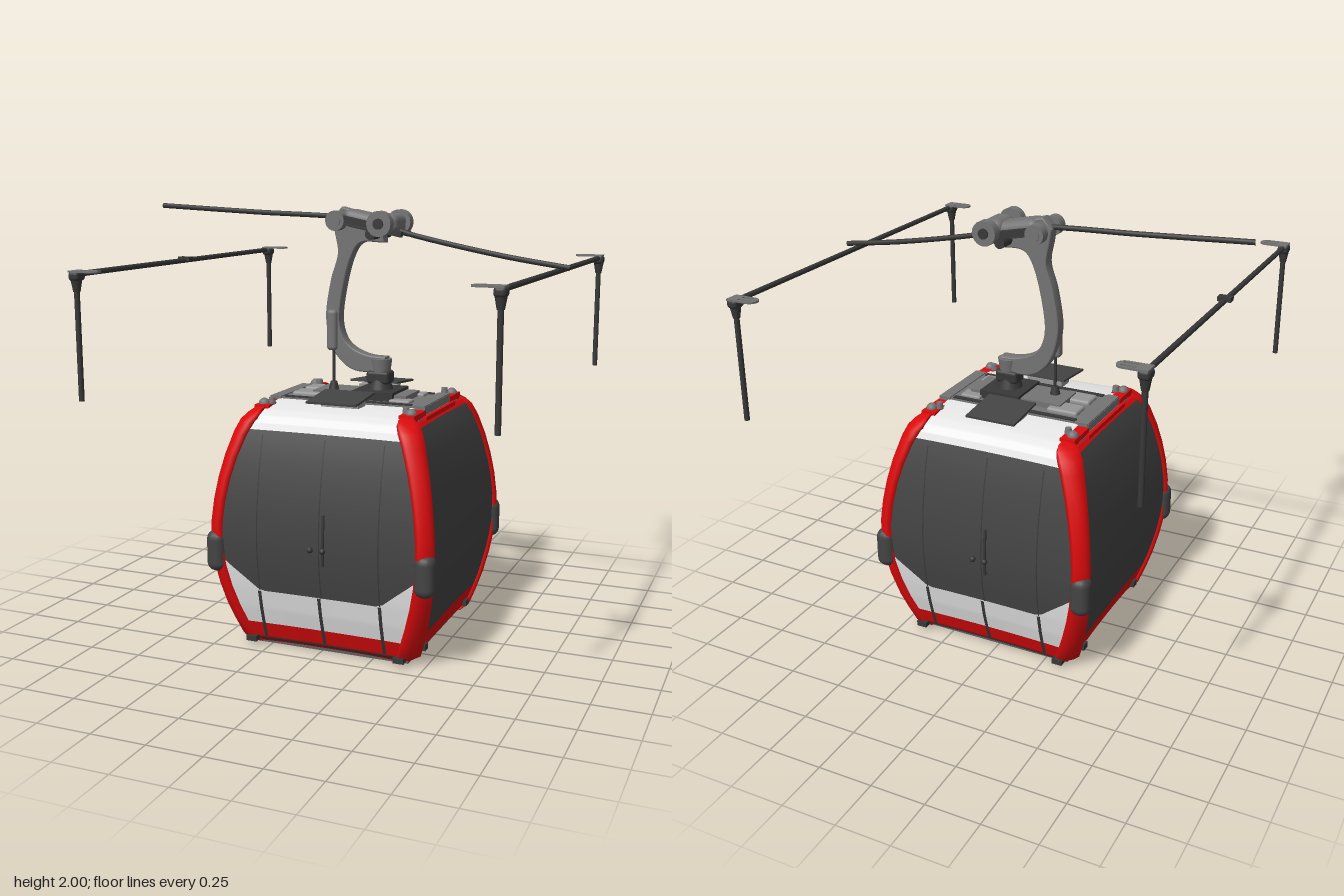
import * as THREE from 'three';
import { toCreasedNormals } from 'three/addons/utils/BufferGeometryUtils.js';
import { RoundedBoxGeometry } from 'three/addons/geometries/RoundedBoxGeometry.js';

const CX = 0.03; // cabin centre in x
// cabin half width by height, curving over into the roof: [y, half width]
const PROFILE = [[0.01, 0.4], [0.04, 0.436], [0.12, 0.464], [0.2, 0.488], [0.3, 0.51], [0.4, 0.526],
  [0.5, 0.534], [0.6, 0.532], [0.7, 0.522], [0.8, 0.506], [0.9, 0.484], [1.0, 0.455], [1.05, 0.434],
  [1.08, 0.408], [1.098, 0.355], [1.112, 0.26], [1.12, 0.17]];

function halfWidth(y) {
  let i = 1;
  while (i < PROFILE.length - 1 && PROFILE[i][0] < y) i++;
  const [y0, w0] = PROFILE[i - 1], [y1, w1] = PROFILE[i];
  return w0 + (w1 - w0) * (y - y0) / (y1 - y0);
}

// surface through a grid of points, rows running upward
function gridSurface(cols, rows, point) {
  const pos = [], idx = [];
  for (let j = 0; j <= rows; j++) for (let i = 0; i <= cols; i++) {
    pos.push(...point(i, j));
    if (i < cols && j < rows) {
      const a = j * (cols + 1) + i, b = a + cols + 1;
      idx.push(a, a + 1, b, a + 1, b + 1, b);
    }
  }
  const g = new THREE.BufferGeometry();
  g.setAttribute('position', new THREE.Float32BufferAttribute(pos, 3));
  g.setIndex(idx);
  g.computeVertexNormals();
  return g;
}

// curved wall skin facing +z, reaching the pillars unless x limits are given
function wallSkin(low, high, lift = 0, x0 = null, x1 = null) {
  return gridSurface(28, 16, (i, j) => {
    const t = i / 28;
    const guess = x0 === null ? (t * 2 - 1) * 0.47 : x0 + (x1 - x0) * t;
    const y = low(guess) + (high(guess) - low(guess)) * j / 16;
    const h = halfWidth(y);
    const x = x0 === null ? (t * 2 - 1) * (h - 0.04) : guess;
    return [x, y, h - 0.01 - 0.013 * Math.max(0, 1 - (x / h) ** 2) + lift];
  });
}

// corner pillar at +x +z: a rounded chamfer swept up the profile, wider at both ends, in over the roof
function pillarSkin() {
  const section = [[-0.074, -0.035], [-0.07, -0.006], [-0.052, 0.002], [-0.028, -0.008], [-0.008, -0.028], [0.002, -0.052], [-0.006, -0.07], [-0.035, -0.074]];
  const path = [...PROFILE.slice(0, 14), [1.1, 0.38], [1.108, 0.335]];
  return gridSurface(section.length - 1, path.length - 1, (i, j) => {
    const [y, h] = path[j], wide = 1.02 + 0.28 * Math.min(1, ((y - 0.6) / 0.45) ** 2);
    return [Math.max(0.328, h + section[i][0] * wide), y, Math.max(0.328, h + section[i][1] * wide)];
  });
}

export function createModel() {
  const root = new THREE.Group();
  root.name = 'cableCar';
  const mat = (name, color, side = THREE.FrontSide) => {
    const m = new THREE.MeshStandardMaterial({ color, side });
    m.name = name;
    return m;
  };
  const red = mat('red', 0xdc0a0c, THREE.DoubleSide), white = mat('white', 0xf8f8f8), pale = mat('pale grey', 0xeaeaea);
  const glass = mat('dark glass', 0x444444), dark = mat('dark grey', 0x383838), floorGrey = mat('floor grey', 0x5c5c5c);
  const metal = mat('metal grey', 0x747474), light = mat('light metal', 0x969696);

  const add = (name, geo, m, x = 0, y = 0, z = 0, parent = root) => {
    const mesh = new THREE.Mesh(geo, m);
    mesh.name = name;
    mesh.position.set(x, y, z);
    parent.add(mesh);
    return mesh;
  };
  const box = (name, m, w, h, d, x, y, z, parent) => add(name, new THREE.BoxGeometry(w, h, d), m, x, y, z, parent);
  const soft = (name, m, w, h, d, rad, x, y, z, parent) => add(name, new RoundedBoxGeometry(w, h, d, 3, rad), m, x, y, z, parent);
  const ball = (name, m, r, x, y, z, parent) => add(name, new THREE.SphereGeometry(r, 16, 10), m, x, y, z, parent);
  const tube = (name, m, r, pts, parent, n = 24) => add(name, new THREE.TubeGeometry(
    new THREE.CatmullRomCurve3(pts.map(p => new THREE.Vector3(...p))), n, r, 10), m, 0, 0, 0, parent);
  // cylinder, turned along z when asked
  const cyl = (name, m, r0, r1, h, x, y, z, alongZ, parent) => {
    const g = new THREE.CylinderGeometry(r0, r1, h, 20);
    if (alongZ) g.rotateX(Math.PI / 2);
    return add(name, g, m, x, y, z, parent);
  };

  const cabin = new THREE.Group();
  cabin.name = 'cabin';
  cabin.position.x = CX;
  root.add(cabin);

  // door walls (front, back) and window walls (sides), each with one corner pillar
  const at = v => () => v;
  const sill = x => 0.29 + Math.max(0, Math.abs(x) - 0.29) * 0.9;
  const pillarGeo = pillarSkin();
  for (let k = 0; k < 4; k++) {
    const wall = new THREE.Group();
    wall.name = ['frontWall', 'leftWall', 'backWall', 'rightWall'][k];
    wall.rotation.y = k * Math.PI / 2;
    cabin.add(wall);
    const skin = (name, m, lo, hi, ...rest) => add(name, wallSkin(lo, hi, ...rest), m, 0, 0, 0, wall);
    add('cornerPillar', pillarGeo, red, 0, 0, 0, wall);
    soft('cornerBumper', glass, 0.092, 0.19, 0.092, 0.04, 0.498, 0.46, 0.498, wall);
    if (k % 2) {
      skin('sideSkirt', red, at(0.01), at(0.14));
      skin('sideWindow', glass, at(0.14), at(1.06));
      skin('sideTopTrim', red, at(1.06), at(1.085));
      for (const s of [-1, 1]) box('skirtBolt', dark, 0.04, 0.03, 0.02, s * 0.31, 0.065, 0.436, wall);
      continue;
    }
    skin('skirt', red, at(0.01), at(0.12));
    skin('lowerPanel', white, at(0.12), sill);
    skin('window', glass, sill, at(1.02));
    skin('topPanel', white, at(1.02), at(1.06));
    skin('whiteRoof', white, at(1.06), at(1.12), 0, -0.332, 0.332);
    skin('doorLowerPanel', pale, at(0.125), at(0.285), 0.004, -0.29, 0.29);
    for (const x of [-0.29, 0, 0.29]) skin('doorSeam', dark, at(0.05), at(0.29), 0.008, x - 0.008, x + 0.008);
    for (const x of [-0.29, 0.01, 0.29]) skin('doorGlassSeam', dark, at(0.29), at(1.0), 0.004, x - 0.003, x + 0.003);
    skin('doorSill', dark, at(0.034), at(0.048), 0.008, -0.33, 0.33);
    tube('doorHandle', dark, 0.007, [[0.03, 0.45, 0.517], [0.03, 0.56, 0.517], [0.03, 0.68, 0.506]], wall);
    for (const x of [-0.03, 0.03]) ball('doorKnob', dark, 0.014, x, 0.52, 0.52, wall);
  }

  // floor and roof
  box('floor', floorGrey, 0.77, 0.012, 0.77, 0, 0.008, 0, cabin);
  box('roofBase', metal, 0.77, 0.03, 0.56, 0, 1.072, 0, cabin);
  box('roofDeck', metal, 0.76, 0.035, 0.35, 0, 1.108, 0, cabin);
  for (const sx of [-1, 1]) {
    box('roofSideRail', metal, 0.055, 0.02, 0.36, sx * 0.35, 1.12, 0, cabin);
    box('roofSideTrim', red, 0.016, 0.02, 0.42, sx * 0.39, 1.08, 0, cabin);
    for (const sz of [-1, 1]) {
      box('roofCornerTrim', red, 0.07, 0.04, 0.16, sx * 0.348, 1.093, sz * 0.255, cabin);
      ball('roofLug', metal, 0.026, sx * 0.355, 1.112, sz * 0.288, cabin);
      cyl('roofLugPin', metal, 0.014, 0.02, 0.05, sx * 0.325, 1.115, sz * 0.27, false, cabin);
      box('cornerFoot', dark, 0.05, 0.025, 0.04, sx * 0.36, 0.035, sz * 0.43, cabin);
    }
  }
  for (const s of [-1, 1]) {
    box('deckEdge', dark, 0.62, 0.018, 0.025, 0, 1.122, s * 0.157, cabin);
    soft('deckPad', light, 0.15, 0.03, 0.1, 0.012, -0.22, 1.13, s * 0.07, cabin);
    soft('deckPad', light, 0.1, 0.02, 0.07, 0.008, 0.24, 1.13, s * 0.1, cabin);
    box('solarPanel', glass, 0.24, 0.01, 0.225, 0.01, 1.158, s * 0.262, cabin).rotation.x = s * 0.09;
    box('solarPanelStay', light, 0.18, 0.03, 0.09, 0.01, 1.13, s * 0.23, cabin);
  }
  box('hangerPlate', metal, 0.46, 0.025, 0.18, 0.03, 1.14, 0, cabin);
  box('hangerPlateEdge', dark, 0.2, 0.04, 0.22, 0.1, 1.145, 0, cabin);

  // hanger arm
  const hanger = new THREE.Group();
  hanger.name = 'hanger';
  root.add(hanger);
  cyl('hangerFoot', dark, 0.045, 0.065, 0.06, 0.13, 1.18, 0, false, hanger);
  soft('hangerJoint', dark, 0.11, 0.06, 0.09, 0.015, 0.13, 1.22, 0, hanger);
  cyl('hangerCollar', metal, 0.05, 0.042, 0.06, 0.135, 1.275, 0, false, hanger);
  const under = [[0.02, 1.25], [-0.06, 1.3], [-0.105, 1.38], [-0.125, 1.5], [-0.1, 1.66], [-0.065, 1.78], [-0.08, 1.88], [-0.09, 1.94]];
  const over = [[0.05, 1.84], [0, 1.79], [-0.04, 1.67], [-0.068, 1.5], [-0.05, 1.4], [0, 1.345], [0.08, 1.315], [0.16, 1.31]];
  const vec = a => a.map(p => new THREE.Vector2(...p));
  const outline = new THREE.Shape().moveTo(0.16, 1.25).splineThru(vec(under))
    .lineTo(-0.05, 1.985).lineTo(0.01, 1.97).lineTo(0.14, 1.92).lineTo(0.15, 1.84).splineThru(vec(over));
  const armGeo = new THREE.ExtrudeGeometry(outline, { depth: 0.044, bevelEnabled: true, bevelSize: 0.006, bevelThickness: 0.01, bevelSegments: 2, curveSegments: 6 });
  armGeo.translate(0, 0, -0.022);
  add('hangerArm', toCreasedNormals(armGeo, 0.6), metal, 0, 0, 0, hanger);
  soft('armBracket', metal, 0.05, 0.19, 0.05, 0.018, -0.095, 1.43, 0.03, hanger);
  tube('armStay', dark, 0.007, [[-0.09, 1.13, 0.03], [-0.09, 1.27, 0.03], [-0.09, 1.4, 0.03]], hanger);
  cyl('armStayFoot', dark, 0.015, 0.025, 0.04, -0.09, 1.17, 0.03, false, hanger);

  // grip with rollers
  const grip = new THREE.Group();
  grip.name = 'grip';
  root.add(grip);
  soft('gripBody', metal, 0.24, 0.08, 0.13, 0.035, 0.08, 1.925, 0, grip).rotation.z = -0.2;
  soft('gripHead', metal, 0.1, 0.09, 0.16, 0.035, 0.18, 1.92, 0, grip);
  cyl('gripAxle', metal, 0.026, 0.026, 0.28, 0.17, 1.92, 0, true, grip);
  cyl('gripFrontAxle', metal, 0.026, 0.026, 0.24, -0.05, 1.93, 0, true, grip);
  cyl('gripLowerAxle', dark, 0.025, 0.025, 0.22, 0.12, 1.875, 0, true, grip);
  for (const s of [-1, 1]) {
    cyl('gripRoller', metal, 0.057, 0.057, 0.045, 0.175, 1.922, s * 0.13, true, grip);
    cyl('rollerHub', dark, 0.024, 0.024, 0.06, 0.175, 1.922, s * 0.13, true, grip);
    cyl('smallRoller', metal, 0.045, 0.045, 0.05, -0.05, 1.932, s * 0.09, true, grip);
    box('gripLever', dark, 0.24, 0.03, 0.025, 0.06, 1.925, s * 0.095, grip).rotation.z = -0.2;
    box('gripGuide', dark, 0.12, 0.025, 0.03, 0.19, 1.885, s * 0.05, grip).rotation.z = -0.2;
  }

  // haul rope
  tube('haulRope', dark, 0.012, [[-0.995, 1.988, 0], [-0.5, 1.963, 0], [-0.05, 1.943, 0], [0.1, 1.918, 0],
    [0.3, 1.866, 0], [0.7, 1.787, 0], [0.995, 1.743, 0]], root, 60);

  // side rails with drop posts and flat loops
  const loop = new THREE.Shape().absarc(0.08, 0, 0.034, -Math.PI / 2, Math.PI / 2).lineTo(-0.02, 0.034).lineTo(-0.02, -0.034);
  for (const s of [-1, 1]) {
    const slot = new THREE.Path().absarc(0.085, s * 0.015, 0.008, -Math.PI / 2, Math.PI / 2);
    slot.lineTo(0.03, s * 0.015 + 0.008).lineTo(0.03, s * 0.015 - 0.008);
    loop.holes.push(slot);
  }
  const loopGeo = new THREE.ExtrudeGeometry(loop, { depth: 0.008, bevelEnabled: false, curveSegments: 8 });
  loopGeo.rotateX(-Math.PI / 2);
  for (const [x, flip] of [[-0.882, 0], [0.943, Math.PI]]) {
    const rail = new THREE.Group();
    rail.name = flip ? 'leftRail' : 'rightRail';
    rail.position.x = x;
    root.add(rail);
    cyl('railBar', dark, 0.012, 0.012, 1.82, 0, 1.728, 0, true, rail);
    for (const s of [-1, 1]) {
      cyl('dropPost', dark, 0.012, 0.012, 0.53, 0, 1.455, s * 0.908, false, rail);
      cyl('postHead', dark, 0.026, 0.015, 0.06, 0, 1.685, s * 0.908, false, rail);
      soft('postCap', dark, 0.05, 0.04, 0.065, 0.015, 0, 1.72, s * 0.905, rail);
      add('postLoop', loopGeo, metal, 0, 1.736, s * 0.905, rail).rotation.y = flip;
    }
    if (!flip) box('railClamp', dark, 0.06, 0.02, 0.04, 0, 1.735, 0, rail);
  }
  return root;
}
